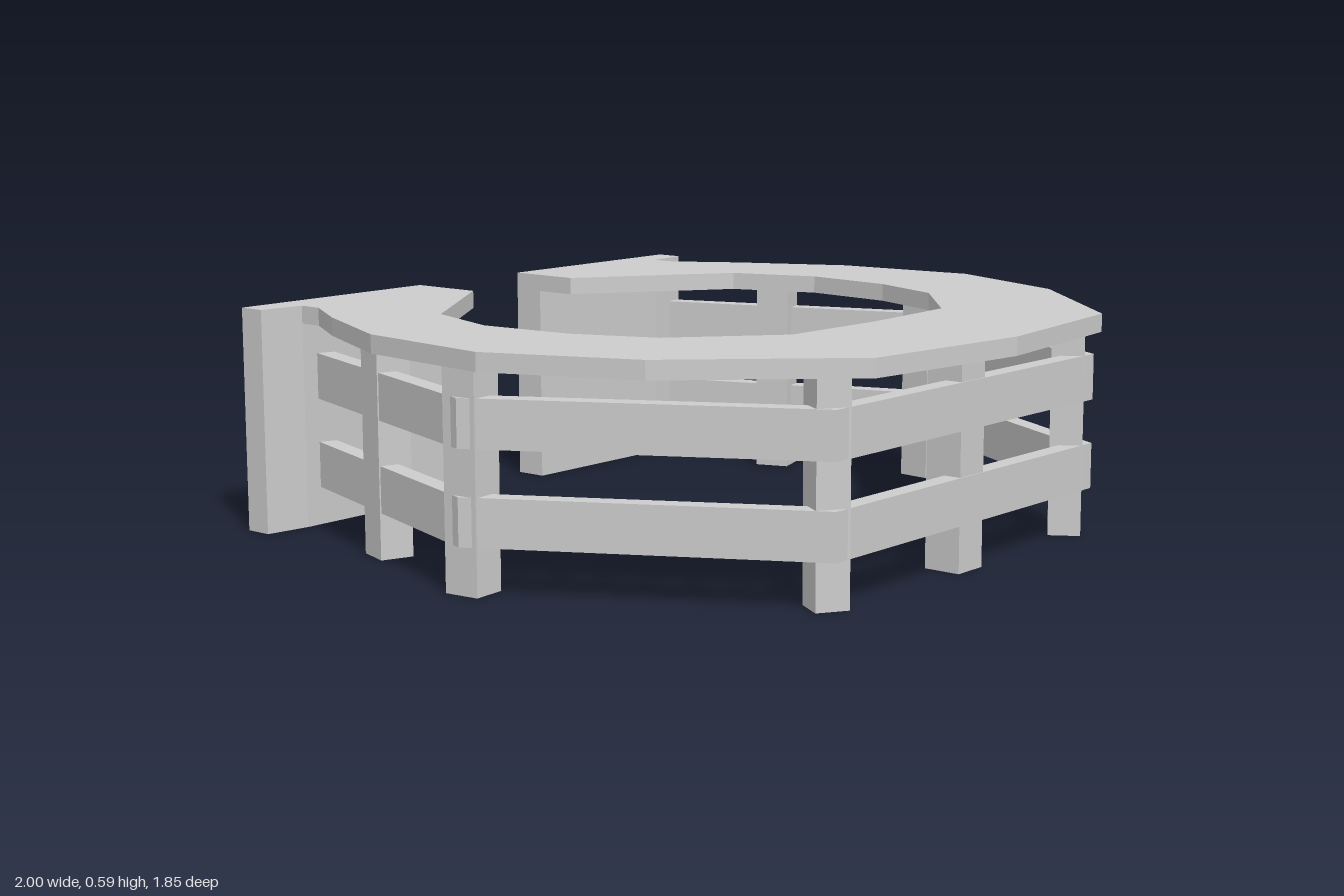
import * as THREE from 'three';

const PLATE_BOTTOM = 0.545;
const TOP = 0.592;

export function createModel() {
  const model = new THREE.Group();
  model.name = 'roundCounter';
  const grey = new THREE.MeshStandardMaterial({ color: 0xcccccc });
  grey.name = 'plain grey';

  const add = (name, geometry) => {
    const mesh = new THREE.Mesh(geometry, grey);
    mesh.name = name;
    model.add(mesh);
    return mesh;
  };

  // Extrudes a plan outline of [x, z] points from y0 up to y1
  const slab = (name, points, y0, y1) => {
    const shape = new THREE.Shape(points.map(([x, z]) => new THREE.Vector2(x, -z)));
    const geometry = new THREE.ExtrudeGeometry(shape, { depth: y1 - y0, bevelEnabled: false });
    geometry.rotateX(-Math.PI / 2).translate(0, y0, 0);
    return add(name, geometry);
  };
  const mirror = (points) => points.map(([x, z]) => [-x, z]).reverse();

  // Horseshoe counter top, its left half traced from front to back to front
  const half = [
    [0, 0.92], [0.49, 0.86], [0.845, 0.48], [1, 0.1], [0.955, -0.3], [0.81, -0.6],
    [0.705, -0.77], [0.705, -0.835], [0.83, -0.85], [0.83, -0.925], [0.195, -0.925],
    [0.195, -0.715], [0.59, -0.435], [0.67, -0.2], [0.645, 0.06], [0.56, 0.275],
    [0.315, 0.485], [0, 0.5],
  ];
  slab('counterTop', [...half, ...mirror(half).slice(1, -1)], PLATE_BOTTOM, TOP);

  // Back end walls
  const wall = [[0.195, -0.925], [0.83, -0.925], [0.83, -0.85], [0.705, -0.835], [0.195, -0.835]];
  slab('leftEndWall', wall, 0, PLATE_BOTTOM);
  slab('rightEndWall', mirror(wall), 0, PLATE_BOTTOM);

  // Two rails following the outside of the posts
  const outer = [[0.555, 0.8], [0.987, 0.02], [0.718, -0.765]];
  const inner = [[0.672, -0.75], [0.932, 0.016], [0.526, 0.75]];
  const railPlan = [
    ...mirror(outer), ...outer, ...inner, ...mirror(inner),
  ];
  slab('lowerRail', railPlan, 0.12, 0.24);
  slab('upperRail', railPlan, 0.355, 0.475);

  // Posts: x, z, width, depth, yaw in degrees
  const post = (name, x, z, width, depth, yaw) => {
    const mesh = add(name, new THREE.BoxGeometry(width, PLATE_BOTTOM, depth));
    mesh.position.set(x, PLATE_BOTTOM / 2, z);
    mesh.rotation.y = THREE.MathUtils.degToRad(yaw);
  };
  post('frontPost', 0, 0.747, 0.1, 0.1, 0);
  for (const side of [1, -1]) {
    const label = side > 0 ? 'left' : 'right';
    post(label + 'CornerPost', side * 0.518, 0.745, 0.085, 0.085, side * 32);
    post(label + 'SidePost', side * 0.93, 0.01, 0.095, 0.09, side * 84);
    post(label + 'BackPost', side * 0.79, -0.43, 0.096, 0.088, side * 109);
  }

  return model;
}
